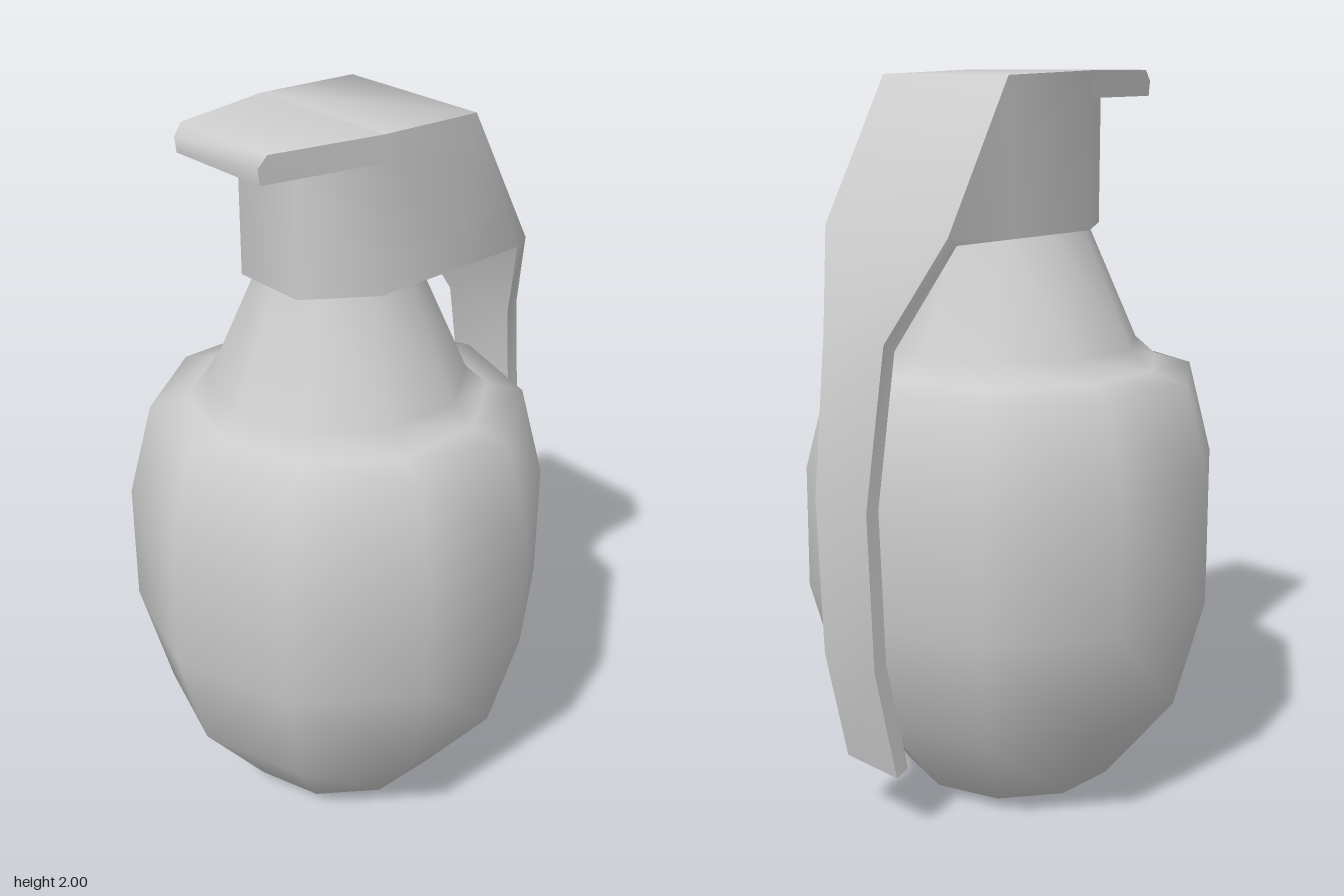
import * as THREE from 'three';
import { toCreasedNormals } from 'three/addons/utils/BufferGeometryUtils.js';

const material = new THREE.MeshStandardMaterial({ color: 0xcccccc });

// Lofts four-sided sections [half width, outer z, outer y, inner z, inner y], front to back.
function loft(name, sections) {
  const rings = sections.map(([w, oz, oy, iz, iy]) => [
    [-w, oy, oz], [w, oy, oz], [w, iy, iz], [-w, iy, iz],
  ]);
  const positions = [];
  const quad = (a, b, c, d) => [a, b, c, a, c, d].forEach((p) => positions.push(...p));
  for (let i = 0; i < rings.length - 1; i++) {
    for (let j = 0; j < 4; j++) {
      const k = (j + 1) % 4;
      quad(rings[i][j], rings[i][k], rings[i + 1][k], rings[i + 1][j]);
    }
  }
  const first = rings[0];
  quad(first[3], first[2], first[1], first[0]);
  quad(...rings[rings.length - 1]);
  const geometry = new THREE.BufferGeometry();
  geometry.setAttribute('position', new THREE.Float32BufferAttribute(positions, 3));
  const mesh = new THREE.Mesh(toCreasedNormals(geometry, THREE.MathUtils.degToRad(66)), material);
  mesh.name = name;
  return mesh;
}

export function createModel() {
  const group = new THREE.Group();

  // Ten-sided body with shoulder and tapering neck
  const profile = [
    [0, 0], [0.2, 0.005], [0.3, 0.035], [0.497, 0.285], [0.58, 0.595], [0.578, 0.935],
    [0.51, 1.195], [0.41, 1.222], [0.35, 1.275], [0.21, 1.59], [0.205, 1.62],
  ].map(([r, y]) => new THREE.Vector2(r, y));
  const body = new THREE.Mesh(new THREE.LatheGeometry(profile, 10), material);
  body.name = 'body';
  body.position.z = 0.025;
  group.add(body);

  // Overhanging lip at the front of the cap
  group.add(loft('lip', [
    [0.16, 0.405, 1.97, 0.4, 1.93],
    [0.165, 0.38, 2.0, 0.375, 1.93],
    [0.23, 0.08, 2.0, 0.08, 1.93],
  ]));

  // Cap around the neck, running on into the curved lever at the back
  group.add(loft('capAndLever', [
    [0.11, 0.255, 1.935, 0.255, 1.59],
    [0.23, 0.08, 2.0, 0.08, 1.59],
    [0.23, -0.23, 1.99, -0.2, 1.59],
    [0.23, -0.44, 1.61, -0.41, 1.59],
    [0.115, -0.55, 1.35, -0.515, 1.33],
    [0.1, -0.605, 0.93, -0.565, 0.93],
    [0.1, -0.59, 0.5, -0.55, 0.51],
    [0.1, -0.52, 0.18, -0.48, 0.195],
  ]));

  return group;
}
